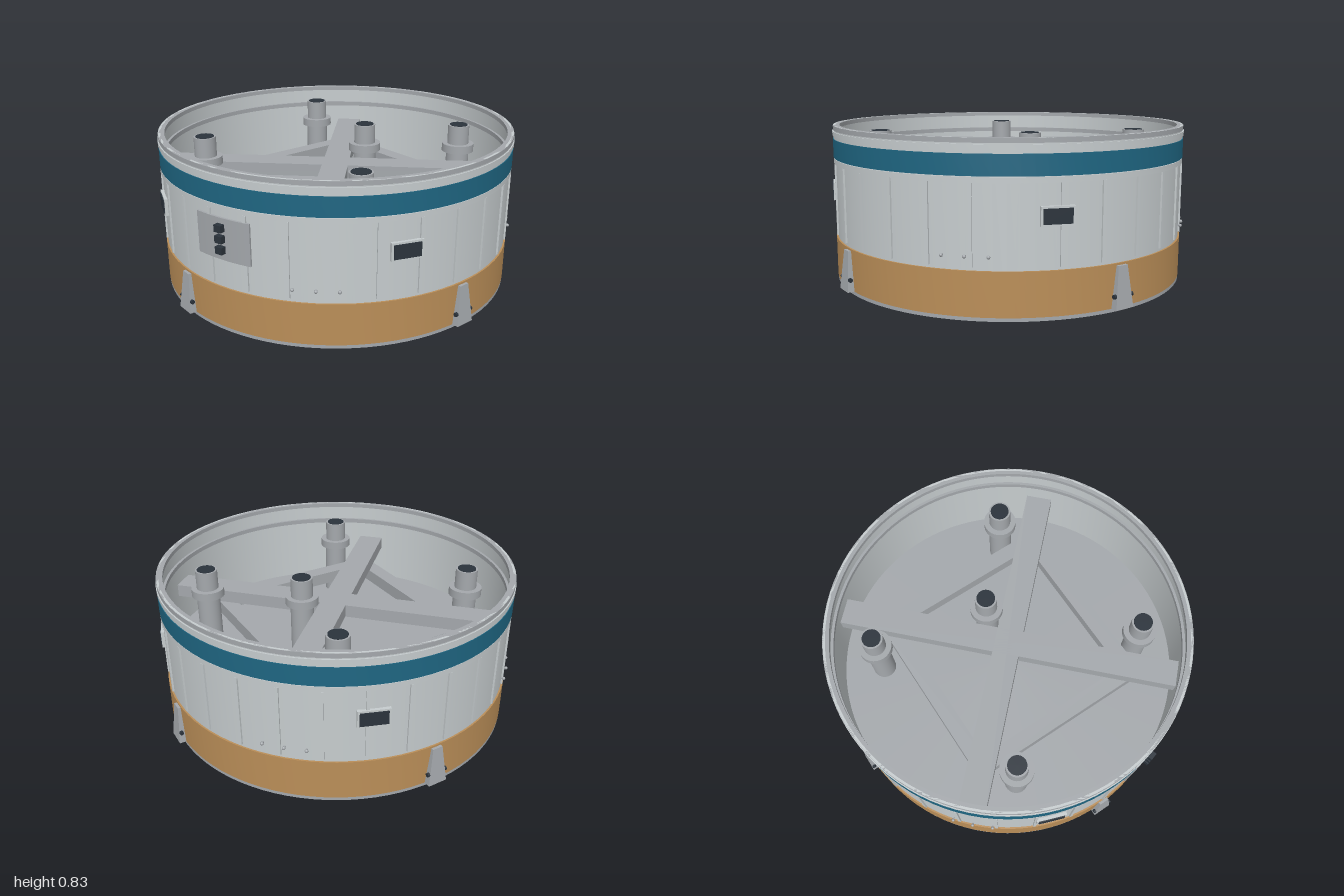
import * as THREE from 'three';
import { toCreasedNormals } from 'three/addons/utils/BufferGeometryUtils.js';

const material = (name, color) => {
  const m = new THREE.MeshStandardMaterial({ color });
  m.name = name;
  return m;
};
const rad = THREE.MathUtils.degToRad;

export function createModel() {
  const wallGrey = material('wall grey', 0xc6ccce);
  const midGrey = material('structure grey', 0xa4a8ac);
  const tan = material('tan', 0xba8e58);
  const teal = material('teal', 0x1f6682);
  const dark = material('dark slate', 0x2b333c);

  const model = new THREE.Group();
  model.name = 'cylindricalSection';

  function add(name, geometry, mat, x = 0, y = 0, z = 0, parent = model) {
    const mesh = new THREE.Mesh(geometry, mat);
    mesh.name = name;
    mesh.position.set(x, y, z);
    parent.add(mesh);
    return mesh;
  }
  // Closed ring turned from a rectangular section
  function ring(name, mat, r0, r1, y0, y1) {
    const pts = [[r1, y0], [r1, y1], [r0, y1], [r0, y0], [r1, y0]].map(p => new THREE.Vector2(...p));
    return add(name, toCreasedNormals(new THREE.LatheGeometry(pts, 96), 0.6), mat);
  }
  // Group standing on the hull at an angle from +x towards +z, its own +z pointing outward
  function station(name, degrees) {
    const g = new THREE.Group();
    g.name = name;
    g.rotation.y = Math.PI / 2 - rad(degrees);
    model.add(g);
    return g;
  }
  const box = (w, h, d) => new THREE.BoxGeometry(w, h, d);
  const disc = (r, h, n = 40) => new THREE.CylinderGeometry(r, r, h, n);

  // Hull and coloured bands
  ring('hullWall', wallGrey, 0.945, 0.957, 0.01, 0.825);
  ring('bottomRim', midGrey, 0.94, 0.965, 0, 0.018);
  ring('tanBand', tan, 0.95, 0.966, 0.018, 0.235);
  ring('ribCapRing', wallGrey, 0.95, 0.965, 0.635, 0.662);
  ring('tealBand', teal, 0.95, 0.966, 0.665, 0.765);
  ring('upperBand', wallGrey, 0.95, 0.962, 0.765, 0.835);
  ring('upperBead', wallGrey, 0.95, 0.968, 0.782, 0.806);
  ring('topLip', midGrey, 0.93, 0.964, 0.812, 0.835);
  ring('innerLedge', midGrey, 0.93, 0.95, 0.705, 0.73);
  ring('lowerInnerRidge', wallGrey, 0.928, 0.95, 0.11, 0.14);

  // Vertical ribs
  for (let i = 0; i < 29; i++) {
    const s = station('ribStation', (i + 0.5) * 360 / 29);
    add('rib', box(0.016, 0.385, 0.012), wallGrey, 0, 0.4425, 0.96, s);
  }

  // Tapered feet with cross pins, windows and studs, repeated each quarter
  const footShape = new THREE.Shape([[-0.053, 0.018], [0.053, 0.018], [0.028, 0.225], [-0.028, 0.225]]
    .map(p => new THREE.Vector2(...p)));
  const footGeometry = new THREE.ExtrudeGeometry(footShape, { depth: 0.04, bevelEnabled: false });
  const fp = footGeometry.attributes.position;
  for (let i = 0; i < fp.count; i++) {
    // Front face leans inward with height
    fp.setZ(i, fp.getZ(i) > 0.02 ? 1 - 0.02 * (fp.getY(i) - 0.018) / 0.207 : 0.955);
  }
  footGeometry.computeVertexNormals();

  for (let q = 0; q < 4; q++) {
    const foot = station('footStation', q * 90);
    add('foot', footGeometry, midGrey, 0, 0, 0, foot);
    add('footPin', disc(0.011, 0.115, 12), dark, 0, 0.08, 0.983, foot).rotation.z = Math.PI / 2;

    const win = station('windowStation', 20 + q * 90);
    add('windowFrame', box(0.16, 0.092, 0.02), wallGrey, 0, 0.485, 0.962, win);
    add('windowPane', box(0.138, 0.072, 0.006), dark, 0, 0.485, 0.974, win);

    for (const offset of [-6.5, 0, 6.5]) {
      const s = station('studStation', 45 + q * 90 + offset);
      add('stud', new THREE.SphereGeometry(0.009, 10, 8), midGrey, 0, 0.302, 0.972, s);
      add('studStem', box(0.008, 0.008, 0.02), midGrey, 0, 0.302, 0.962, s);
    }
  }

  // Curved service panel with three connectors
  const arc = new THREE.Shape();
  arc.absarc(0, 0, 0.968, rad(153.5), rad(172.5), false);
  arc.absarc(0, 0, 0.95, rad(172.5), rad(153.5), true);
  const panel = new THREE.ExtrudeGeometry(arc, { depth: 0.215, bevelEnabled: false, curveSegments: 12 });
  panel.rotateX(Math.PI / 2);
  add('servicePanel', panel, midGrey, 0, 0.6, 0);
  const ports = station('connectorStation', 163);
  for (const y of [0.442, 0.498, 0.553]) {
    add('connector', box(0.042, 0.036, 0.03), dark, 0, y, 0.98, ports);
  }

  // Floor, with a tan shield beneath it
  add('floor', disc(0.947, 0.02, 96), midGrey, 0, 0.325, 0);
  add('heatShield', disc(0.947, 0.025, 96), tan, 0, 0.3025, 0);
  ring('shieldEdgeSeal', dark, 0.928, 0.947, 0.284, 0.296);
  for (let q = 0; q < 4; q++) {
    const s = station('seamStation', 75 + q * 90);
    add('shieldSeam', box(0.024, 0.008, 0.71), dark, 0, 0.288, 0.58, s);
  }

  // Round covers under the shield, each with a seal and a circle of rivets
  const covers = [[0, 0]];
  for (let q = 0; q < 4; q++) {
    const a = rad(30 + q * 90);
    covers.push([0.712 * Math.cos(a), 0.712 * Math.sin(a)]);
  }
  const rivetGeometry = new THREE.SphereGeometry(0.009, 8, 6);
  for (const [x, z] of covers) {
    add('coverSeal', disc(0.228, 0.012, 48), dark, x, 0.287, z);
    add('cover', disc(0.208, 0.016, 48), midGrey, x, 0.283, z);
    for (let i = 0; i < 12; i++) {
      const a = rad(15 + i * 30);
      const rx = x + 0.29 * Math.cos(a), rz = z + 0.29 * Math.sin(a);
      if (Math.hypot(rx, rz) < 0.91) add('rivet', rivetGeometry, wallGrey, rx, 0.288, rz);
    }
  }

  // Crossed beams and the square frame hung below them
  for (const turn of [45, -45]) {
    add('crossBeam', box(1.87, 0.07, 0.145), midGrey, 0, 0.575, 0).rotation.y = rad(turn);
  }
  for (let q = 0; q < 4; q++) {
    const s = station('frameStation', q * 90);
    add('frameBar', box(1.0, 0.07, 0.087), midGrey, 0, 0.505, 0.488, s);
  }

  // Collared standpipes
  const pipes = [[0.215, 0], [0.355, -0.625], [-0.625, -0.36], [0.62, 0.355], [-0.36, 0.62]];
  for (const [x, z] of pipes) {
    add('standpipe', disc(0.064, 0.34), midGrey, x, 0.5, z);
    add('pipeCollar', disc(0.09, 0.045), midGrey, x, 0.66, z);
    add('pipeNeck', disc(0.06, 0.12), midGrey, x, 0.73, z);
    add('pipeMouth', disc(0.05, 0.006), dark, x, 0.79, z);
  }
  return model;
}
